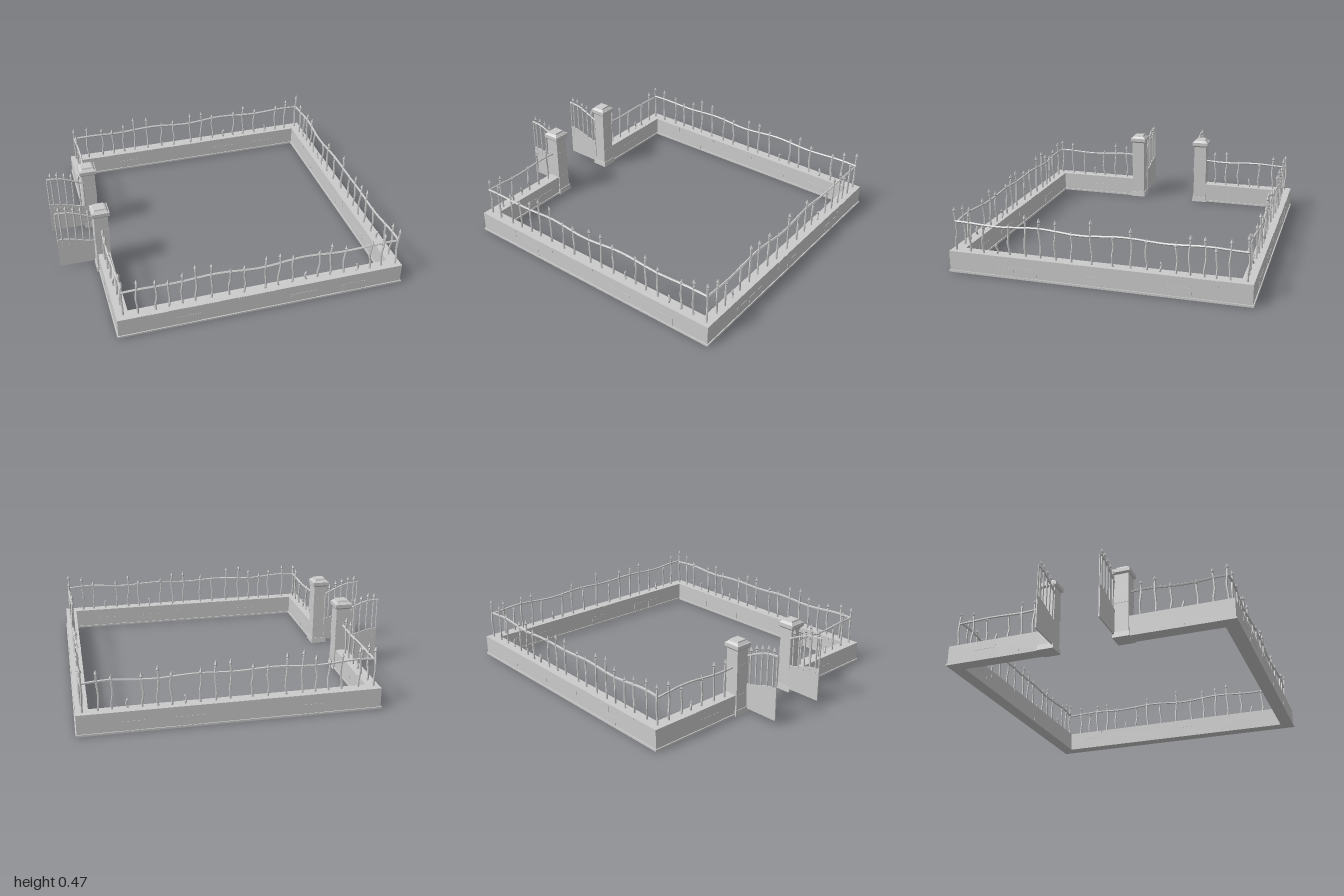
import * as THREE from 'three';

const stone = new THREE.MeshStandardMaterial({ color: 0xcccccc, flatShading: true });
const iron = new THREE.MeshStandardMaterial({ color: 0xcccccc, flatShading: true });
const V = (x, y, z) => new THREE.Vector3(x, y, z);

function add(parent, name, geometry, material) {
  const mesh = new THREE.Mesh(geometry, material);
  mesh.name = name;
  parent.add(mesh);
  return mesh;
}

function block(parent, name, x, y, z, w, h, d) {
  add(parent, name, new THREE.BoxGeometry(w, h, d), stone).position.set(x, y, z);
}

// Four-sided tapering block (pyramid frustum)
function frustum(parent, name, bottom, top, y0, y1) {
  const g = new THREE.CylinderGeometry(top * Math.SQRT1_2, bottom * Math.SQRT1_2, y1 - y0, 4);
  g.rotateY(Math.PI / 4);
  add(parent, name, g, stone).position.y = (y0 + y1) / 2;
}

// U-shaped wall ring with an opening on the -x side
function wallRing(parent, name, grow, y0, y1) {
  const a = -0.767 - grow, b = -0.693 + grow, c = 0.917 - grow, d = 0.988 + grow;
  const o = 0.883 + grow, i = 0.812 - grow, gap = 0.22;
  const pts = [[a, gap], [b, gap], [b, i], [c, i], [c, -i], [b, -i], [b, -gap],
    [a, -gap], [a, -o], [d, -o], [d, o], [a, o]];
  const shape = new THREE.Shape(pts.map(([x, z]) => new THREE.Vector2(x, z)));
  const g = new THREE.ExtrudeGeometry(shape, { depth: y1 - y0, bevelEnabled: false });
  g.rotateX(-Math.PI / 2);
  add(parent, name, g, stone).position.y = y0;
}

// Spear tip: diamond above a small collar
function spear(parent, x, top, z) {
  const pts = [[0, 0], [0.007, 0.002], [0.005, 0.007], [0.011, 0.015], [0, 0.042]];
  const g = new THREE.LatheGeometry(pts.map(p => new THREE.Vector2(...p)), 4);
  add(parent, 'spearTip', g, iron).position.set(x, top - 0.042, z);
}

function rod(parent, name, pts, radius, segments) {
  const g = new THREE.TubeGeometry(new THREE.CatmullRomCurve3(pts), segments, radius, 5);
  add(parent, name, g, iron);
}

// Bent fence post; short ones are broken stubs with no tip
function post(parent, x, z, top, seed, alongX) {
  const end = top < 0.22 ? top : top - 0.038;
  const pts = [];
  for (let k = 0; k <= 4; k++) {
    const t = k / 4;
    const s = 0.008 * Math.sin(seed * 2.3 + t * (3 + seed % 3)) * Math.sin(Math.PI * t);
    pts.push(V(x + (alongX ? s : s * 0.4), 0.12 + (end - 0.12) * t, z + (alongX ? s * 0.4 : s)));
  }
  rod(parent, 'fencePost', pts, 0.0065, 8);
  if (top >= 0.22) spear(parent, x, top, z);
  else {
    const tip = add(parent, 'brokenTip', new THREE.ConeGeometry(0.0065, 0.012, 5), iron);
    tip.position.set(x, end + 0.005, z);
  }
}

// A row of posts plus a sagging rail, along x or z at a fixed offset
function fenceRow(parent, name, posts, from, to, offset, alongX) {
  const row = new THREE.Group();
  row.name = name;
  parent.add(row);
  const wob = t => 0.006 * Math.sin(t * 9 + 1);
  posts.forEach(([t, top], i) => {
    const o = offset + wob(t);
    post(row, alongX ? t : o, alongX ? o : t, top, i + 1, alongX);
  });
  const n = Math.ceil(Math.abs(to - from) / 0.09), pts = [];
  for (let k = 0; k <= n; k++) {
    const t = from + (to - from) * k / n, o = offset + wob(t);
    const y = 0.299 + 0.006 * Math.sin(t * 13 + 3.5);
    pts.push(V(alongX ? t : o, y, alongX ? o : t));
  }
  rod(row, 'fenceRail', pts, 0.007, n * 3);
}

function pillar(z) {
  const g = new THREE.Group();
  g.name = 'gatePillar';
  g.position.set(-0.731, 0, z);
  frustum(g, 'pillarFoot', 0.104, 0.098, 0, 0.035);
  // Stacked courses
  [0.035, 0.13, 0.22, 0.315, 0.41].forEach((y, i, a) => {
    if (i) frustum(g, 'pillarBlock', i % 2 ? 0.09 : 0.086, i % 2 ? 0.088 : 0.085, a[i - 1], y);
  });
  frustum(g, 'capUnderside', 0.09, 0.108, 0.408, 0.418);
  frustum(g, 'capSlab', 0.108, 0.108, 0.418, 0.44);
  frustum(g, 'capSlope', 0.1, 0.076, 0.44, 0.452);
  frustum(g, 'capTop', 0.07, 0.064, 0.452, 0.461);
  return g;
}

function gateLeaf(z) {
  const g = new THREE.Group();
  g.name = 'gateLeaf';
  g.position.z = z;
  // Solid lower panel with a curved top edge
  const s = new THREE.Shape();
  s.moveTo(-0.998, 0.025);
  s.lineTo(-0.765, 0.022);
  s.lineTo(-0.765, 0.18);
  s.bezierCurveTo(-0.85, 0.185, -0.89, 0.228, -0.998, 0.228);
  const panel = new THREE.ExtrudeGeometry(s, { depth: 0.008, bevelEnabled: false, curveSegments: 8 });
  panel.translate(0, 0, -0.004);
  add(g, 'gatePanel', panel, iron);
  // Bars, stiles and arched rail
  const bars = [[-0.97, 0.475], [-0.928, 0.474], [-0.883, 0.462], [-0.84, 0.45], [-0.797, 0.425]];
  for (const [x, top] of bars) {
    rod(g, 'gateBar', [V(x, 0.17, 0), V(x + 0.002, 0.3, 0), V(x, top - 0.038, 0)], 0.0055, 4);
    spear(g, x, top, 0);
  }
  rod(g, 'gateStile', [V(-0.995, 0.2, 0), V(-0.995, 0.425, 0)], 0.005, 1);
  rod(g, 'gateStile', [V(-0.77, 0.16, 0), V(-0.77, 0.36, 0)], 0.006, 1);
  rod(g, 'gateRail', [V(-0.998, 0.424, 0), V(-0.92, 0.418, 0), V(-0.84, 0.39, 0), V(-0.765, 0.355, 0)], 0.006, 10);
  return g;
}

export function createModel() {
  const model = new THREE.Group();
  model.name = 'fencedEnclosure';

  wallRing(model, 'wallFooting', 0.006, 0.002, 0.014);
  wallRing(model, 'wall', 0, 0.01, 0.13);

  // Slightly proud stones: position along wall, length, bottom, top
  const longStones = [[-0.53, 0.11, 0.074, 0.129], [-0.26, 0.2, 0.074, 0.129], [0.06, 0.22, 0.074, 0.129],
    [0.36, 0.17, 0.014, 0.07], [0.68, 0.15, 0.014, 0.07], [-0.35, 0.14, 0.014, 0.07]];
  const sideStones = [[0.54, 0.11, 0.014, 0.07], [0.41, 0.13, 0.014, 0.07], [0.11, 0.1, 0.074, 0.129],
    [0.0, 0.1, 0.014, 0.07], [-0.48, 0.14, 0.014, 0.07], [-0.63, 0.13, 0.074, 0.129]];
  for (const side of [1, -1])
    for (const [x, w, a, b] of longStones)
      block(model, 'wallStone', x, (a + b) / 2, side * 0.8475, w, b - a, 0.074);
  for (const [z, w, a, b] of sideStones) {
    block(model, 'wallStone', 0.9525, (a + b) / 2, z, 0.074, b - a, w);
    if (Math.abs(z) > 0.35) block(model, 'wallStone', -0.73, (a + b) / 2, z, 0.077, b - a, w);
  }

  // Position along the row, top height
  const longPosts = [[-0.64, 0.38], [-0.535, 0.355], [-0.46, 0.33], [-0.375, 0.36], [-0.3, 0.4],
    [-0.205, 0.39], [-0.095, 0.33], [-0.01, 0.34], [0.12, 0.375], [0.205, 0.375], [0.29, 0.34], [0.38, 0.18],
    [0.455, 0.335], [0.53, 0.375], [0.62, 0.34], [0.7, 0.18], [0.785, 0.34], [0.865, 0.375]];
  const endPosts = [[0.85, 0.395], [0.76, 0.37], [0.675, 0.31], [0.6, 0.18], [0.52, 0.32], [0.42, 0.385],
    [0.335, 0.37], [0.235, 0.37], [0.14, 0.315], [0.025, 0.395], [-0.1, 0.32], [-0.2, 0.365], [-0.29, 0.315],
    [-0.37, 0.18], [-0.455, 0.315], [-0.535, 0.365], [-0.615, 0.365], [-0.675, 0.31], [-0.755, 0.365], [-0.845, 0.395]];
  const gatePosts = [[0.84, 0.38], [0.755, 0.37], [0.66, 0.315], [0.585, 0.18], [0.51, 0.32], [0.42, 0.38], [0.335, 0.37]];

  fenceRow(model, 'endFence', endPosts, -0.85, 0.85, 0.952, false);
  for (const side of [1, -1]) {
    fenceRow(model, 'longFence', longPosts, -0.73, 0.955, side * 0.842, true);
    fenceRow(model, 'gateSideFence', gatePosts.map(([z, h]) => [side * z, h]), side * 0.25, side * 0.845, -0.73, false);
    model.add(pillar(side * 0.232), gateLeaf(side * 0.188));
  }
  return model;
}
